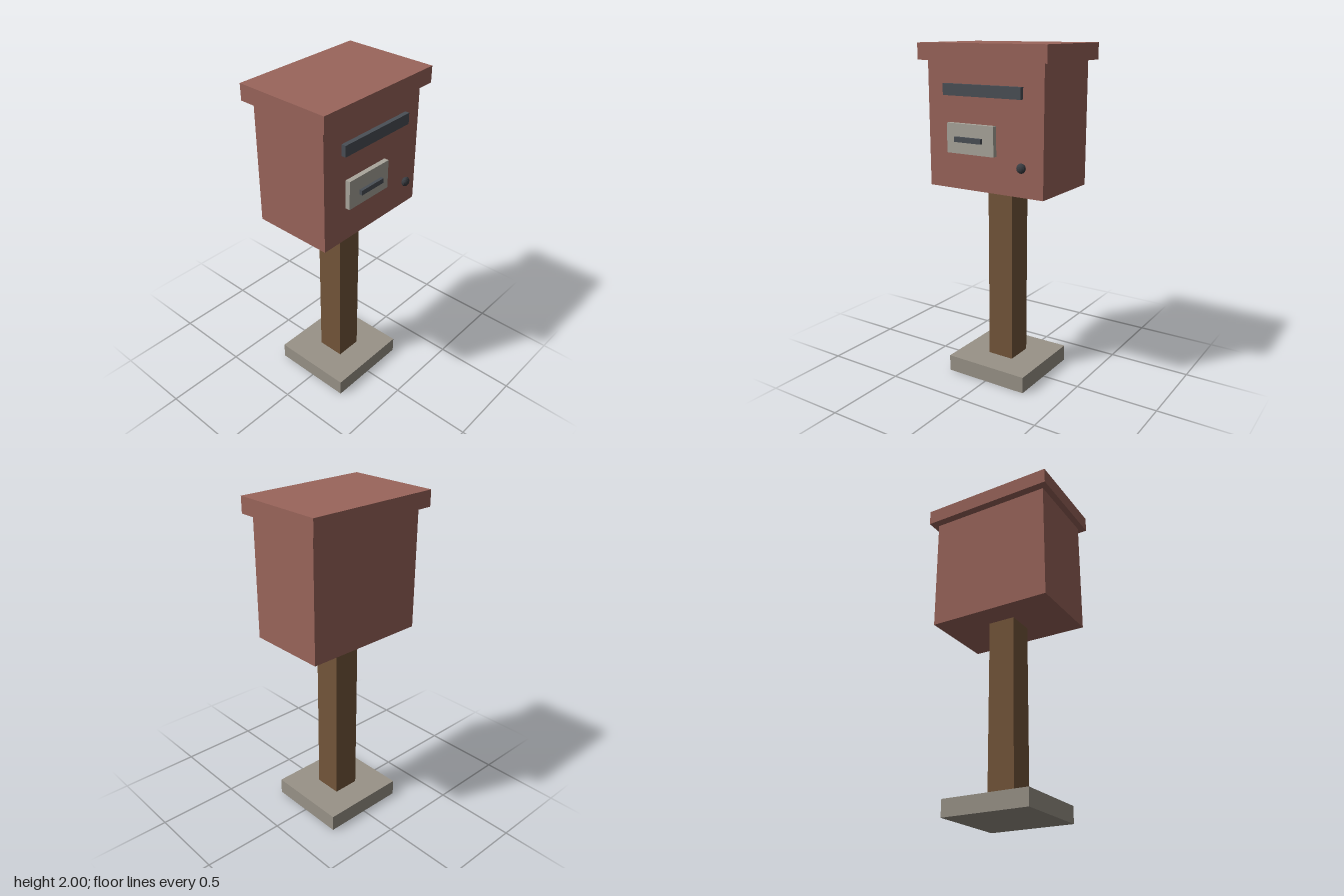
import * as THREE from 'three';

const paint = (color) => new THREE.MeshStandardMaterial({ color, flatShading: true });

export function createModel() {
  const mailbox = new THREE.Group();
  mailbox.name = 'mailbox';

  const red = paint(0x9a655b);
  const wood = paint(0x74563a);
  const stone = paint(0x999388);
  const plate = paint(0xaaa69c);
  const iron = paint(0x4a4f56);

  // Box given by its minimum and maximum on each axis
  function block(name, material, [x0, x1], [y0, y1], [z0, z1]) {
    const mesh = new THREE.Mesh(new THREE.BoxGeometry(x1 - x0, y1 - y0, z1 - z0), material);
    mesh.position.set((x0 + x1) / 2, (y0 + y1) / 2, (z0 + z1) / 2);
    mesh.name = name;
    mailbox.add(mesh);
  }

  // Stand
  block('base', stone, [-0.267, 0.267], [0, 0.1], [-0.262, 0.247]);
  block('post', wood, [-0.083, 0.083], [0.1, 1.18], [-0.093, 0.077]);

  // Housing
  block('body', red, [-0.383, 0.383], [1.18, 1.905], [-0.252, 0.238]);
  block('roof', red, [-0.422, 0.422], [1.905, 2], [-0.301, 0.282]);

  // Front fittings, standing just clear of the body
  block('letterSlot', iron, [-0.257, 0.257], [1.715, 1.78], [0.243, 0.27]);
  block('namePlate', plate, [-0.229, 0.087], [1.393, 1.563], [0.246, 0.275]);
  block('plateBar', iron, [-0.16, 0.017], [1.462, 1.491], [0.283, 0.301]);

  // Flattened lock knob
  const knob = new THREE.Mesh(new THREE.SphereGeometry(0.028, 12, 8), paint(0x3a3d42));
  knob.name = 'lockKnob';
  knob.scale.z = 0.7;
  knob.position.set(0.262, 1.35, 0.269);
  mailbox.add(knob);

  return mailbox;
}
